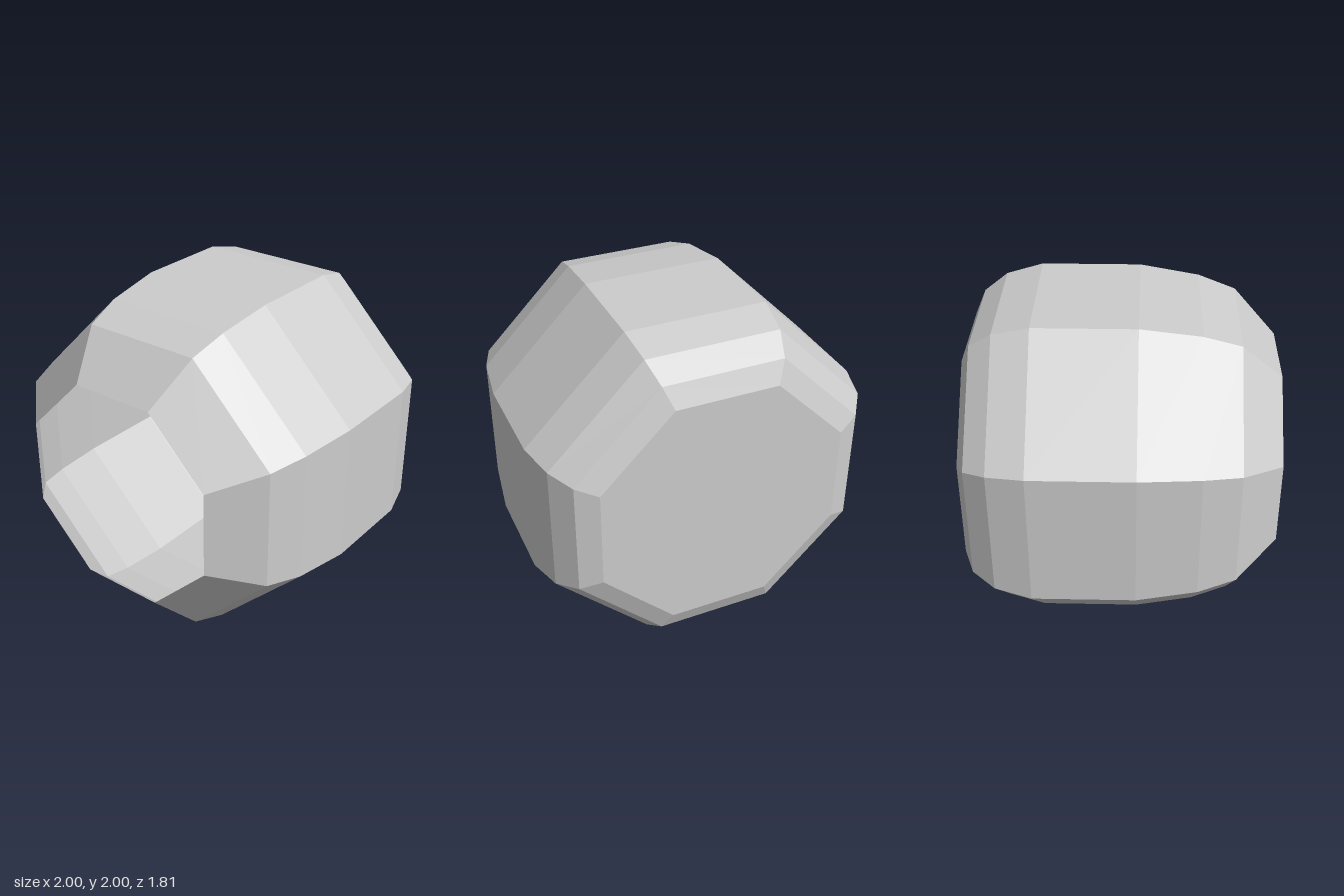
import * as THREE from 'three';

const SIDES = 8;
const toCorner = 1 / Math.cos(Math.PI / SIDES); // flat half-width -> corner radius

// [z, half-width across the flats], back to front
const PROFILE = [
  [-0.905, 0.725], [-0.85, 0.85], [-0.715, 0.945], [-0.5, 1],
  [0.09, 1], [0.44, 0.947], [0.66, 0.873], [0.905, 0.625],
];

export function createModel() {
  const model = new THREE.Group();
  model.name = 'octagonalPot';

  const clay = new THREE.MeshStandardMaterial({ color: 0xcccccc, side: THREE.DoubleSide });
  clay.name = 'plainGrey';

  // Thin bulging eight-sided wall, open at the front
  const points = PROFILE.map(([z, r]) => new THREE.Vector2(r * toCorner, z));
  const wallGeometry = new THREE.LatheGeometry(points, SIDES, Math.PI / SIDES)
    .rotateX(Math.PI / 2)
    .toNonIndexed();
  wallGeometry.computeVertexNormals(); // flat facets
  const wall = new THREE.Mesh(wallGeometry, clay);
  wall.name = 'wall';

  // Flat octagon closing the back
  const [backZ, backR] = PROFILE[0];
  const base = new THREE.Mesh(
    new THREE.CircleGeometry(backR * toCorner, SIDES, Math.PI / SIDES).rotateY(Math.PI),
    clay
  );
  base.name = 'backPlate';
  base.position.z = backZ;

  for (const part of [wall, base]) {
    part.position.y = 1;
    model.add(part);
  }
  return model;
}
